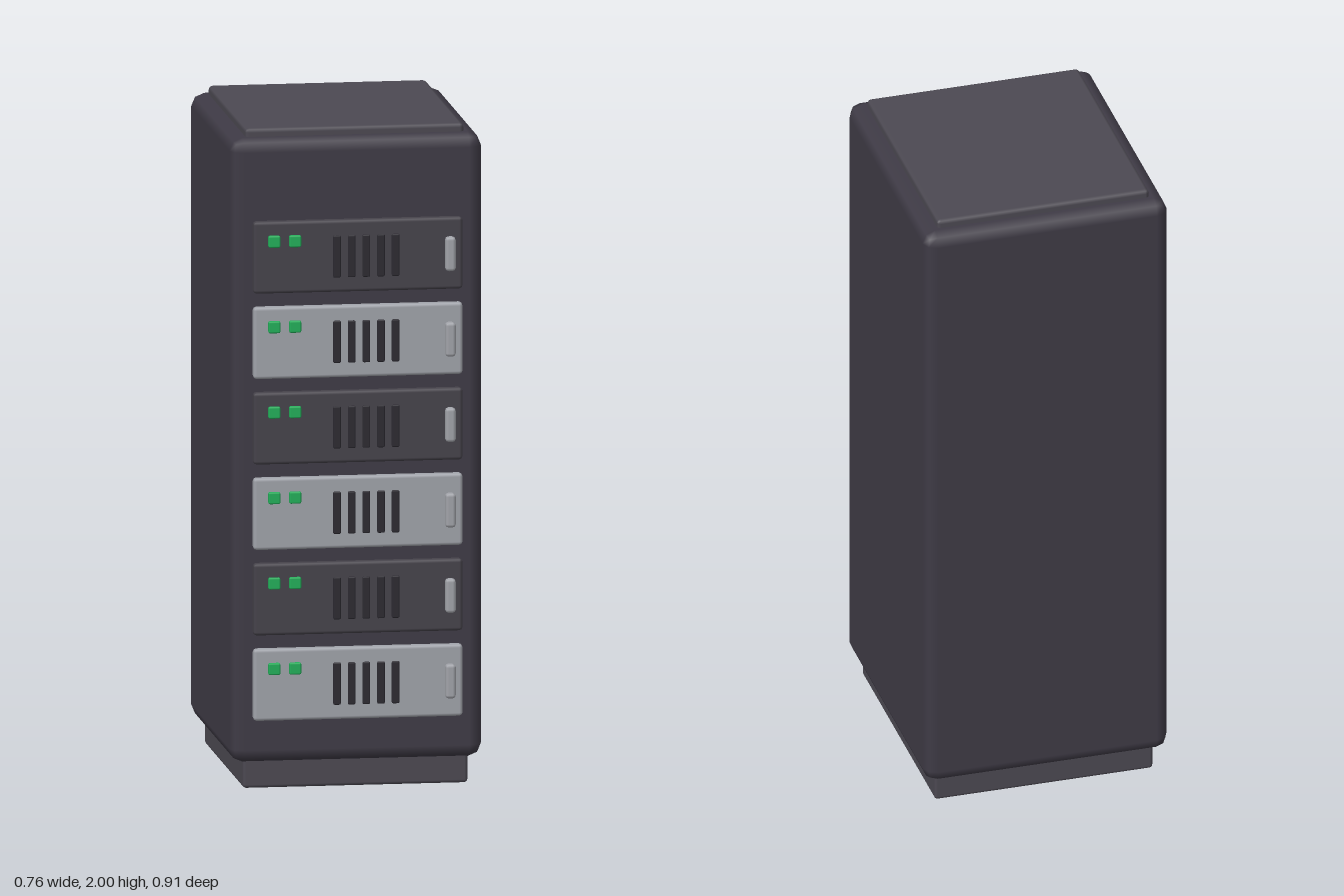
import * as THREE from 'three';
import { RoundedBoxGeometry } from 'three/addons/geometries/RoundedBoxGeometry.js';

const material = (color) => new THREE.MeshStandardMaterial({ color });
const shell = material(0x3f3b46);
const trim = material(0x4c4952);
const darkPanel = material(0x46434b);
const lightPanel = material(0xa2a5ac);
const slotDark = material(0x2c2a31);
const ledGreen = material(0x22b05a);
const metal = material(0xa3a5ab);

// Rounded block given by its centre in x and y and its extent in z
function block(name, mat, x, y, w, h, z0, z1, radius) {
  const mesh = new THREE.Mesh(new RoundedBoxGeometry(w, h, z1 - z0, 1, radius), mat);
  mesh.name = name;
  mesh.position.set(x, y, (z0 + z1) / 2);
  return mesh;
}

// One rack unit: panel, two status lights, five vent slots and a pull handle
function rackUnit(panelMaterial) {
  const unit = new THREE.Group();
  unit.name = 'rackUnit';
  unit.add(block('unitPanel', panelMaterial, 0, 0, 0.632, 0.218, 0.37, 0.43, 0.01));
  for (const x of [-0.255, -0.192]) {
    unit.add(block('statusLight', ledGreen, x, 0.05, 0.036, 0.036, 0.415, 0.443, 0.005));
  }
  for (let i = 0; i < 5; i++) {
    unit.add(block('ventSlot', slotDark, -0.065 + i * 0.0443, 0, 0.023, 0.128, 0.415, 0.437, 0.004));
  }
  unit.add(block('pullHandle', metal, 0.277, 0, 0.031, 0.104, 0.41, 0.453, 0.01));
  return unit;
}

export function createModel() {
  const model = new THREE.Group();
  model.name = 'serverRack';

  // Plinth, cabinet and raised lid
  model.add(block('plinth', trim, 0, 0.06, 0.68, 0.12, -0.41, 0.37, 0.01));
  model.add(block('cabinet', shell, 0, 1.028, 0.76, 1.895, -0.453, 0.405, 0.04));
  model.add(block('lid', trim, 0, 1.975, 0.66, 0.05, -0.405, 0.355, 0.012));

  // Stack of units, light and dark in turn from the bottom
  for (let i = 0; i < 6; i++) {
    const unit = rackUnit(i % 2 ? darkPanel : lightPanel);
    unit.position.y = 0.322 + i * 0.2595;
    model.add(unit);
  }
  return model;
}
